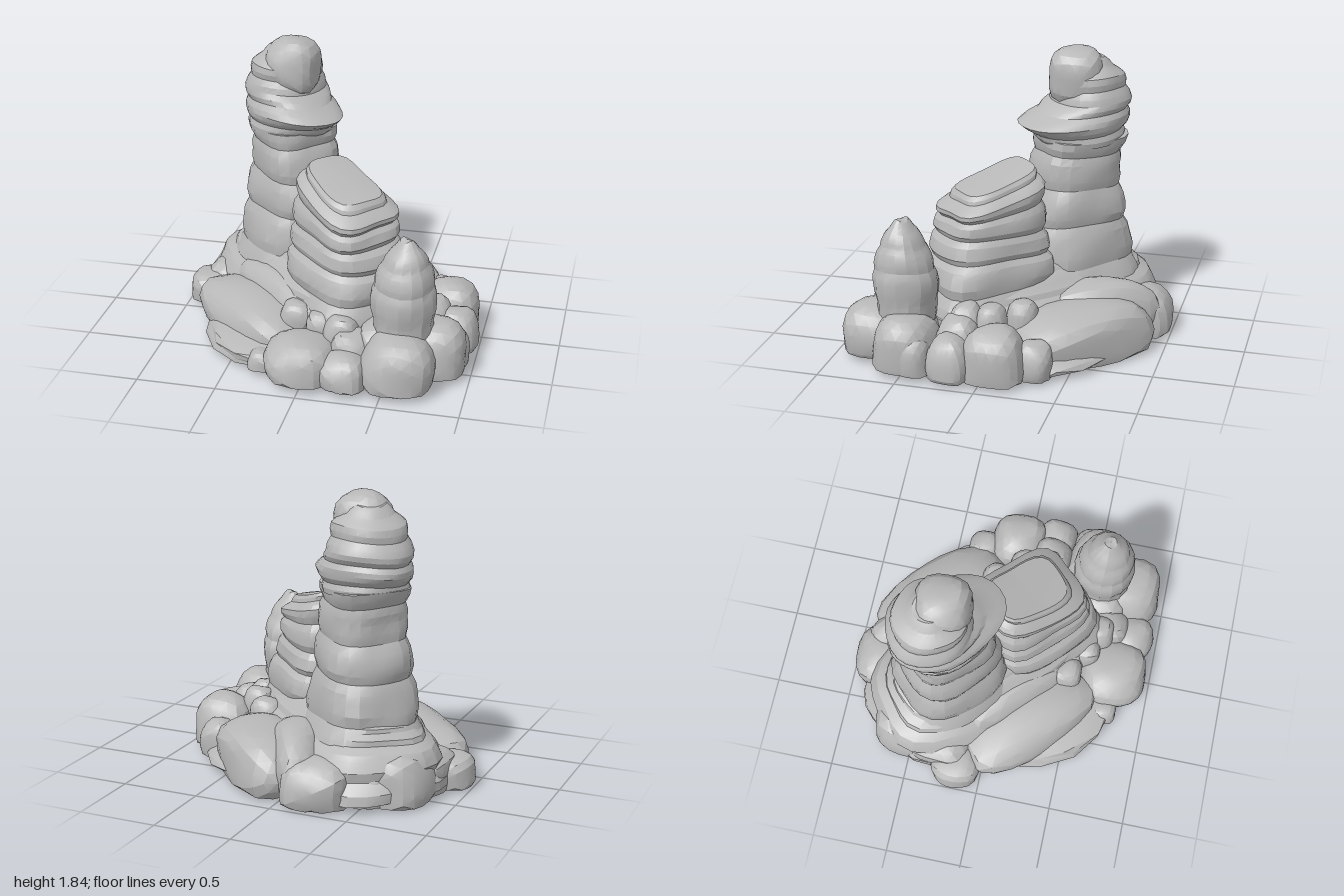
import * as THREE from 'three';
import { toCreasedNormals, mergeVertices } from 'three/addons/utils/BufferGeometryUtils.js';

const stone = new THREE.MeshStandardMaterial({ color: 0xb8b8b8 });
stone.name = 'grey stone';

// The underside is a single, very slightly tilted plane.
const ground = (x, z) => 0.023 + 0.022 * z + 0.004 * x;

function addMesh(group, name, geo) {
  const mesh = new THREE.Mesh(toCreasedNormals(geo, 0.36), stone);
  mesh.name = name;
  group.add(mesh);
}

// Weathered rock layers [y, u, a, b], bottom to top, with a groove worn between neighbours.
// u runs along the ridge diagonal; a and b are the half length and half width (b defaults to a).
function stack(layers, { n = 2, groove = 0.92, v = 0, segs = 26, seed = 0, slope = 0 }) {
  const full = layers.map(([y, u, a, b = a]) => [y, u, a, b]);
  const rings = [];
  full.forEach((layer, i) => {
    rings.push(layer);
    const next = full[i + 1];
    if (!next) return;
    const mix = (t, k) => layer.map((c, m) => (c + (next[m] - c) * t) * (m > 1 ? k : 1));
    rings.push(mix(0.25, (1 + groove) / 2 + 0.03), mix(0.5, groove), mix(0.75, (1 + groove) / 2 + 0.03));
  });

  const pos = [], index = [];
  const put = (u, w, y) => pos.push((u + w) / Math.SQRT2, y, (u - w) / Math.SQRT2);
  rings.forEach(([y, u, a, b]) => {
    const tilt = slope * THREE.MathUtils.smoothstep(y, 0.7, 1.05);
    for (let j = 0; j < segs; j++) {
      const t = (j / segs) * Math.PI * 2, c = Math.cos(t), s = Math.sin(t);
      let k = Math.pow(Math.abs(c) ** n + Math.abs(s) ** n, -1 / n);
      k *= 1 + 0.018 * Math.sin(3 * t + 9 * y + seed) + 0.012 * Math.sin(5 * t - 14 * y + seed * 2);
      const sway = 0.01 * Math.sin(2 * t + seed + y * 5);
      put(u + a * c * k, v + b * s * k, y + tilt * a * c * k + sway);
    }
  });
  for (let i = 0; i < rings.length - 1; i++) {
    for (let j = 0; j < segs; j++) {
      const p = i * segs + j, q = i * segs + (j + 1) % segs;
      index.push(p, q, q + segs, p, q + segs, p + segs);
    }
  }
  const [topY, topU] = rings[rings.length - 1], last = (rings.length - 1) * segs;
  put(topU, v, topY + 0.008);
  for (let j = 0; j < segs; j++) index.push(last + segs, last + j, last + (j + 1) % segs);
  const geo = new THREE.BufferGeometry();
  geo.setAttribute('position', new THREE.Float32BufferAttribute(pos, 3));
  geo.setIndex(index);
  return geo;
}

// Boulder: a squarish, lumpy ball cut flat at the underside.
function boulder(x, z, rx, rz, top, seed, low = 0, turn = 0) {
  let geo = new THREE.IcosahedronGeometry(1, 3);
  geo.deleteAttribute('normal');
  geo.deleteAttribute('uv');
  geo = mergeVertices(geo, 1e-4);
  const p = geo.attributes.position, d = new THREE.Vector3();
  const cy = low + (top - low) * 0.36, e = 2.7;
  const ct = Math.cos(turn), st = Math.sin(turn);
  for (let i = 0; i < p.count; i++) {
    d.fromBufferAttribute(p, i);
    let k = Math.pow(Math.abs(d.x) ** e + Math.abs(d.y) ** e + Math.abs(d.z) ** e, -1 / e);
    k *= 1 + 0.045 * Math.sin(3.1 * d.x + seed * 1.7) * Math.cos(3.7 * d.z + seed)
      + 0.03 * Math.sin(5 * d.y + 3 * d.x + seed * 2.3);
    const lx = d.x * k * rx, lz = d.z * k * rz;
    const px = x + lx * ct + lz * st, pz = z - lx * st + lz * ct;
    p.setXYZ(i, px, Math.max(cy + d.y * k * (top - cy), ground(px, pz)), pz);
  }
  return geo;
}

export function createModel() {
  const model = new THREE.Group();
  model.name = 'rockFormation';

  // Tall back pillar: square shaft, overhanging ledge and round head, then its cap
  addMesh(model, 'pillarShaft', stack([
    [0.3, -0.45, 0.42, 0.37], [0.6, -0.44, 0.34, 0.3], [0.83, -0.44, 0.32, 0.27],
    [1.07, -0.44, 0.275, 0.245], [1.27, -0.48, 0.29, 0.25],
  ], { n: 3, seed: 1.3 }));
  addMesh(model, 'pillarHead', stack([
    [1.24, -0.48, 0.28, 0.26], [1.37, -0.44, 0.39, 0.28], [1.5, -0.56, 0.265],
    [1.66, -0.54, 0.225], [1.77, -0.54, 0.1],
  ], { groove: 0.93, seed: 2.6 }));
  addMesh(model, 'pillarCap', boulder(-0.32, -0.32, 0.175, 0.175, 1.835, 4, 1.55));

  // Layered front block with a sloping top
  addMesh(model, 'layeredBlock', stack([
    [0.28, 0.22, 0.43, 0.37], [0.53, 0.21, 0.38, 0.32], [0.67, 0.2, 0.35, 0.28],
    [0.82, 0.18, 0.33, 0.265], [0.97, 0.18, 0.32, 0.25], [1.07, 0.16, 0.24, 0.17],
  ], { n: 4, segs: 32, seed: 2.1, slope: -0.27 }));

  // Flared foot shared by pillar and block
  addMesh(model, 'flaredFoot', stack([
    [0.05, -0.18, 0.84, 0.5], [0.29, -0.18, 0.79, 0.44], [0.42, -0.15, 0.67, 0.32],
    [0.52, -0.15, 0.58, 0.22],
  ], { n: 3, groove: 0.98, segs: 32, seed: 0.4 }));

  // Small front spire
  addMesh(model, 'smallSpire', stack([
    [0.25, 0.8, 0.18], [0.53, 0.8, 0.205], [0.69, 0.81, 0.175], [0.82, 0.82, 0.115],
    [0.915, 0.82, 0.04],
  ], { groove: 0.97, segs: 16, seed: 3, v: 0.02 }));

  // Ground slab filling the middle of the flat underside
  addMesh(model, 'groundSlab', boulder(0, 0, 0.78, 0.78, 0.18, 0));

  // Long slabs and a higher shoulder along both flanks
  const along = -Math.PI / 4;
  addMesh(model, 'leftSlab', boulder(-0.45, 0.24, 0.49, 0.25, 0.3, 1, 0, along));
  addMesh(model, 'rightSlab', boulder(0.28, -0.5, 0.47, 0.26, 0.34, 2, 0, along));
  addMesh(model, 'leftShoulder', boulder(-0.32, 0.12, 0.46, 0.16, 0.4, 3, 0, along));
  addMesh(model, 'rightShoulder', boulder(0.02, -0.56, 0.38, 0.17, 0.4, 4, 0, -1.1));

  // Boulders around the rim: x, z, radius, top
  const rim = {
    backBoulder: [
      [-0.84, -0.17, 0.16, 0.21], [-0.62, -0.52, 0.235, 0.33], [-0.68, -0.3, 0.22, 0.28],
      [-0.22, -0.78, 0.22, 0.29], [-0.5, -0.68, 0.13, 0.26],
    ],
    sideBoulder: [
      [0.71, -0.3, 0.115, 0.25], [0.78, -0.07, 0.19, 0.35], [0.87, 0.19, 0.13, 0.3],
      [0.86, 0.42, 0.11, 0.27], [0.7, 0.18, 0.135, 0.36], [0.76, 0.5, 0.205, 0.36],
    ],
    frontBoulder: [
      [0.58, 0.73, 0.225, 0.36], [0.48, 0.56, 0.2, 0.36], [0.26, 0.82, 0.15, 0.24],
      [-0.02, 0.74, 0.225, 0.28], [-0.27, 0.72, 0.095, 0.15], [0.28, 0.66, 0.135, 0.32],
    ],
  };
  for (const [name, list] of Object.entries(rim)) {
    list.forEach(([x, z, r, top], i) =>
      addMesh(model, name + (i + 1), boulder(x, z, r, r, top, i * 1.37 + x * 3)));
  }

  // Small stones resting around the foot of the block
  const stones = [[0.07, 0.53], [-0.12, 0.44], [0.2, 0.6], [0.43, -0.16], [0.57, 0.01], [0.6, 0.16]];
  stones.forEach(([x, z], i) =>
    addMesh(model, `smallStone${i + 1}`, boulder(x, z, 0.11, 0.1, 0.36 + 0.08 * Math.max(0, x), i * 2.1, 0.15)));

  return model;
}
